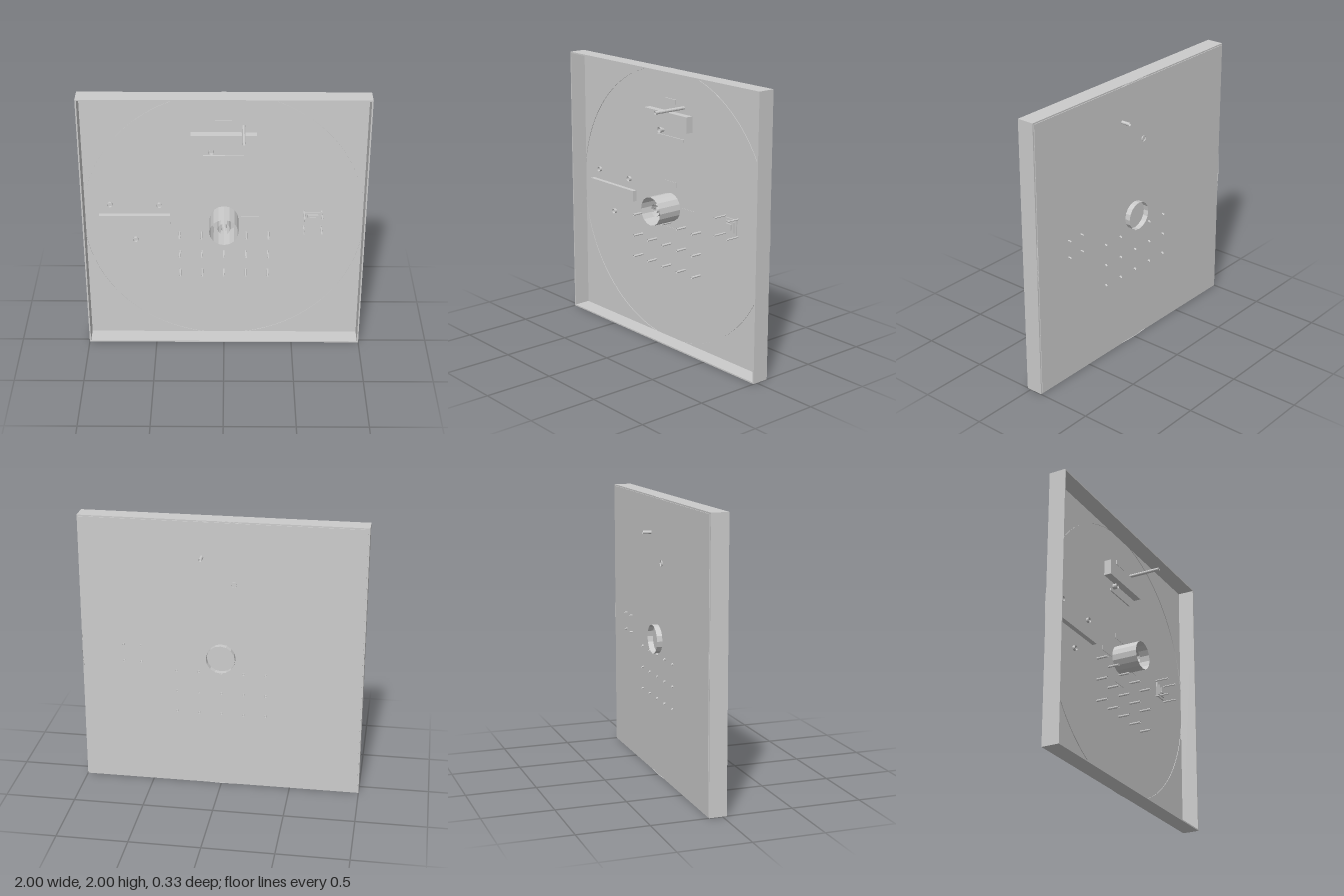
import * as THREE from 'three';

const material = new THREE.MeshStandardMaterial({ color: 0xcccccc, flatShading: true });
const shellMaterial = new THREE.MeshStandardMaterial({ color: 0xcccccc, flatShading: true, side: THREE.DoubleSide });

const BACK = -0.1, FLOOR = -0.094;

export function createModel() {
  const model = new THREE.Group();

  const add = (name, geometry, mat = material) => {
    const mesh = new THREE.Mesh(geometry, mat);
    mesh.name = name;
    model.add(mesh);
    return mesh;
  };

  // Block given by its extents along each axis
  const block = (name, x0, x1, y0, y1, z0, z1) =>
    add(name, new THREE.BoxGeometry(x1 - x0, y1 - y0, z1 - z0))
      .position.set((x0 + x1) / 2, (y0 + y1) / 2, (z0 + z1) / 2);

  // Open tube running front to back
  const tube = (name, x, y, radius, z0, z1, sides = 12) => {
    const geometry = new THREE.CylinderGeometry(radius, radius, z1 - z0, sides, 1, true).rotateX(Math.PI / 2);
    add(name, geometry, shellMaterial).position.set(x, y, (z0 + z1) / 2);
  };

  // Back plate, slightly smaller than the rim so a small step shows behind
  block('backPlate', -0.99, 0.99, 0.01, 1.99, BACK, FLOOR);

  // Square rim, open to the front
  const outline = new THREE.Shape();
  outline.moveTo(-1, 0).lineTo(1, 0).lineTo(1, 2).lineTo(-1, 2).closePath();
  const opening = new THREE.Path();
  opening.moveTo(-0.99, 0.01).lineTo(-0.99, 1.99).lineTo(0.99, 1.99).lineTo(0.99, 0.01).closePath();
  outline.holes.push(opening);
  add('rim', new THREE.ExtrudeGeometry(outline, { depth: 0.125, bevelEnabled: false })).position.z = -0.095;

  // Large circle on the plate
  tube('dialRing', 0, 1, 1, BACK, -0.09, 96);

  // Hub of nested tubes
  tube('hub', 0, 1, 0.103, -0.14, 0.095, 16);
  tube('hubSleeve', 0, 1, 0.045, BACK, 0.05);
  tube('hubCore', 0, 1, 0.02, BACK, 0.05);

  // Four thin markers around the hub
  for (const [x, y] of [[0, 1.17], [0, 0.83], [-0.185, 1], [0.185, 1]]) {
    block('hubMarker', x - 0.065, x + 0.065, y - 0.018, y + 0.018, FLOOR, -0.091);
  }

  // Upper blocks, rod and ring
  block('upperBlock', -0.23, 0.225, 1.58, 1.695, FLOOR, -0.04);
  block('topLabel', -0.06, 0.055, 1.75, 1.785, FLOOR, -0.085);
  block('slimBar', -0.145, 0.14, 1.495, 1.515, FLOOR, -0.085);
  tube('rod', 0.135, 1.74, 0.012, -0.165, 0.165);
  tube('smallRing', -0.09, 1.55, 0.02, -0.108, -0.06);

  // Side bar with three studs
  block('sideBar', -0.89, -0.385, 0.96, 1.04, FLOOR, -0.06);
  for (const [x, y] of [[-0.81, 1.12], [-0.46, 1.115], [-0.635, 0.83]]) {
    tube('stud', x, y, 0.018, FLOOR, -0.075);
  }

  // Stepped square with four corner pins
  [0.055, 0.039, 0.022].forEach((half, i) => {
    block('steppedSquare', 0.632 - half, 0.632 + half, 1.002 - half, 1.002 + half, FLOOR, -0.085 + i * 0.01);
  });
  for (const x of [0.57, 0.695]) {
    for (const y of [0.94, 1.065]) tube('cornerPin', x, y, 0.006, -0.12, 0.01, 8);
  }

  // Grid of pins below the hub
  for (let row = 0; row < 3; row++) {
    for (let column = -2; column <= 2; column++) {
      tube('gridPin', column * 0.159, 0.885 - row * 0.159, 0.008, -0.112, -0.01, 8);
    }
  }

  return model;
}
